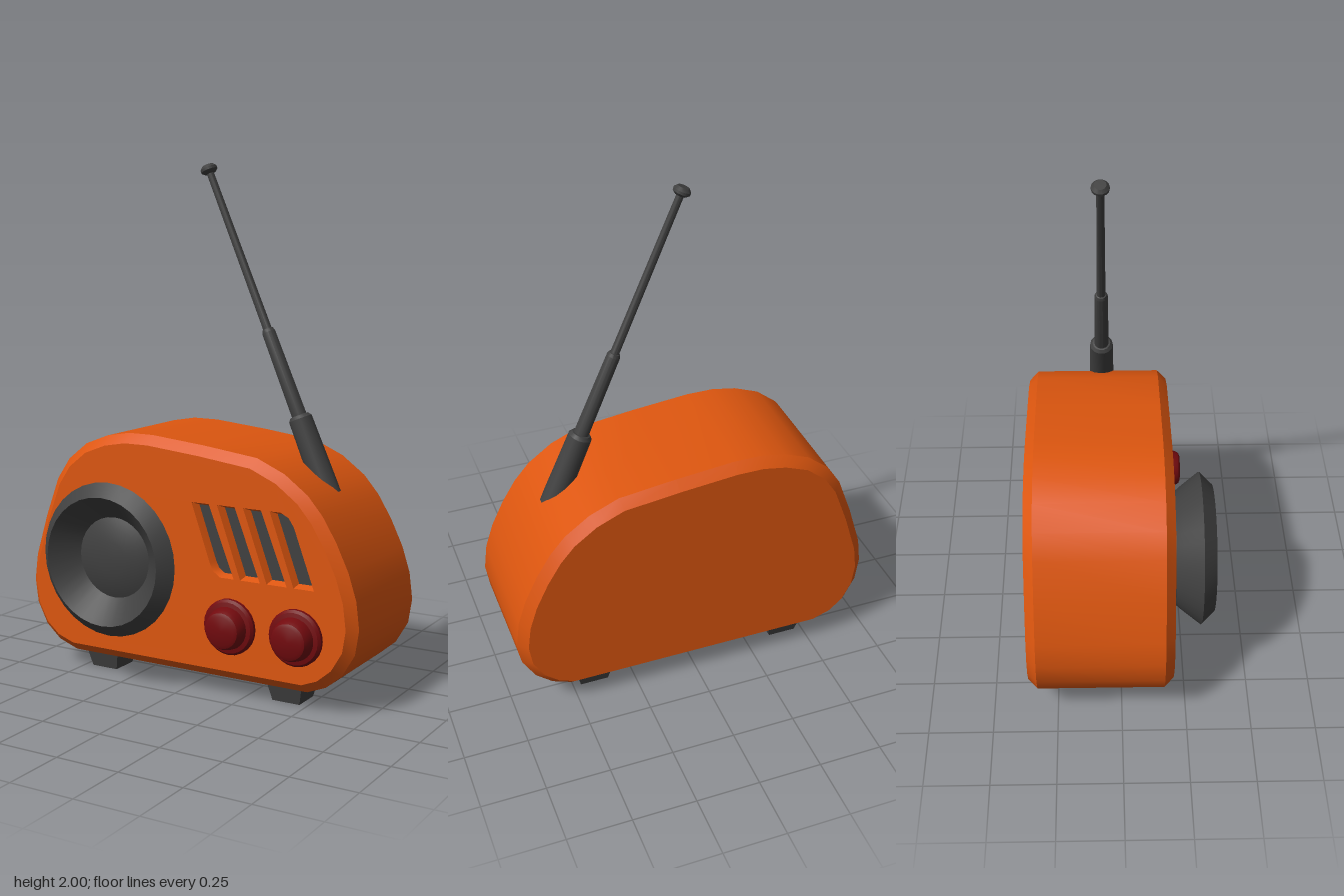
import * as THREE from 'three';
import { toCreasedNormals } from 'three/addons/utils/BufferGeometryUtils.js';

const mat = (name, color) => {
  const m = new THREE.MeshStandardMaterial({ color });
  m.name = name;
  return m;
};

const V = (list) => list.map(([x, y]) => new THREE.Vector2(x, y));

// Moves a counter-clockwise outline inwards by d
function inset(pts, d) {
  const n = pts.length;
  return pts.map((p, i) => {
    const a = p.clone().sub(pts[(i + n - 1) % n]).normalize();
    const b = pts[(i + 1) % n].clone().sub(p).normalize();
    const na = new THREE.Vector2(-a.y, a.x), nb = new THREE.Vector2(-b.y, b.x);
    const m = na.clone().add(nb);
    return p.clone().addScaledVector(m, d / (1 + na.dot(nb)));
  });
}

// Skin between copies of an outline, each [inset, z]
function loft(outline, rings) {
  const n = outline.length, pos = [], idx = [];
  for (const [d, z] of rings) for (const p of inset(outline, d)) pos.push(p.x, p.y, z);
  for (let r = 0; r < rings.length - 1; r++) {
    for (let i = 0; i < n; i++) {
      const j = (i + 1) % n, a = r * n + i, b = r * n + j;
      idx.push(a, b, b + n, a, b + n, a + n);
    }
  }
  const g = new THREE.BufferGeometry();
  g.setAttribute('position', new THREE.Float32BufferAttribute(pos, 3));
  g.setIndex(idx);
  return toCreasedNormals(g, 0.6);
}

const lathe = (profile, segments) =>
  toCreasedNormals(new THREE.LatheGeometry(V(profile), segments), 0.5);

export function createModel() {
  const model = new THREE.Group();
  model.name = 'radio';
  const orange = mat('orange shell', 0xdd560f);
  const dark = mat('dark grey', 0x404040);
  const red = mat('dark red', 0x720a0e);

  const add = (name, geometry, material, x = 0, y = 0, z = 0, parent = model) => {
    const m = new THREE.Mesh(geometry, material);
    m.name = name;
    m.position.set(x, y, z);
    parent.add(m);
    return m;
  };

  // Body outline, counter-clockwise
  const outline = V([
    [-0.52, 0.07], [0.52, 0.07], [0.595, 0.10], [0.66, 0.155], [0.71, 0.24], [0.725, 0.335],
    [0.712, 0.44], [0.68, 0.54], [0.63, 0.645], [0.575, 0.735], [0.515, 0.805], [0.42, 0.875],
    [0.305, 0.925], [0.08, 0.953], [-0.15, 0.975], [-0.26, 0.975], [-0.36, 0.957],
    [-0.46, 0.918], [-0.545, 0.85], [-0.602, 0.765], [-0.66, 0.61], [-0.712, 0.44],
    [-0.725, 0.335], [-0.712, 0.24], [-0.668, 0.155], [-0.605, 0.10],
  ]);
  const bevel = 0.036, front = 0.2, back = -0.362;

  // Slanted grille slots; the first and last have one rounded corner
  const slots = [0, 1, 2, 3].map((i) => {
    const x = 0.045 + i * 0.111;
    const lowerLeft = i === 0
      ? [[x + 0.08, 0.515], [x + 0.095, 0.485], [x + 0.125, 0.465]] : [[x + 0.1, 0.465]];
    const upperRight = i === 3
      ? [[x + 0.1, 0.69], [x + 0.078, 0.723], [x + 0.045, 0.74]] : [[x + 0.075, 0.74]];
    return V([...lowerLeft, [x + 0.183, 0.465], ...upperRight, [x, 0.74]]);
  });

  add('bodyShell', loft(outline, [
    [bevel, back], [0, back + bevel], [0, front - bevel], [bevel, front],
  ]), orange);
  const face = new THREE.Shape(inset(outline, bevel));
  face.holes = slots.map((s) => new THREE.Path(s));
  add('frontFace', new THREE.ShapeGeometry(face), orange, 0, 0, front);
  const mirrored = inset(outline, bevel).map((p) => new THREE.Vector2(-p.x, p.y));
  add('backFace', new THREE.ShapeGeometry(new THREE.Shape(mirrored)), orange, 0, 0, back)
    .rotation.y = Math.PI;

  for (const s of slots) {
    add('grilleSlotWall', loft(s, [[0, front], [0.012, front - 0.03]]), orange);
    add('grilleSlotFloor', new THREE.ShapeGeometry(new THREE.Shape(inset(s, 0.012))),
      dark, 0, 0, front - 0.03);
  }

  // Speaker horn with a recessed cone and a shallow dome
  const speaker = lathe([
    [0.22, -0.01], [0.22, 0.012], [0.24, 0.035], [0.3, 0.112], [0.25, 0.163],
    [0.158, 0.07], [0.12, 0.086], [0.065, 0.097], [0, 0.101],
  ], 32).rotateX(Math.PI / 2);
  add('speaker', speaker, dark, -0.26, 0.503, front);

  // Tuning knobs
  const knob = lathe([
    [0.107, -0.005], [0.107, 0.014], [0.098, 0.024], [0.082, 0.027], [0.076, 0.056],
    [0.068, 0.071], [0.055, 0.077], [0, 0.077],
  ], 24).rotateX(Math.PI / 2);
  for (const x of [0.215, 0.492]) add('knob', knob, red, x, 0.283, front);

  // Tapered square feet
  const foot = new THREE.CylinderGeometry(0.075 * Math.SQRT2, 0.057 * Math.SQRT2, 0.08, 4)
    .rotateY(Math.PI / 4).toNonIndexed();
  foot.computeVertexNormals();
  for (const x of [-0.412, 0.412]) {
    for (const z of [0.068, -0.228]) add('foot', foot, dark, x, 0.04, z);
  }

  // Telescopic antenna leaning towards the model's right
  const antenna = lathe([
    [0, 0], [0.051, 0], [0.046, 0.34], [0.036, 0.353], [0.029, 0.354], [0.026, 0.69],
    [0.021, 0.703], [0.017, 0.704], [0.014, 1.338], [0.022, 1.34], [0.033, 1.35],
    [0.033, 1.36], [0.022, 1.372], [0, 1.372],
  ], 14);
  add('antenna', antenna, dark, 0.5, 0.735, -0.065).rotation.z = Math.atan2(0.54, 1.255);

  return model;
}
